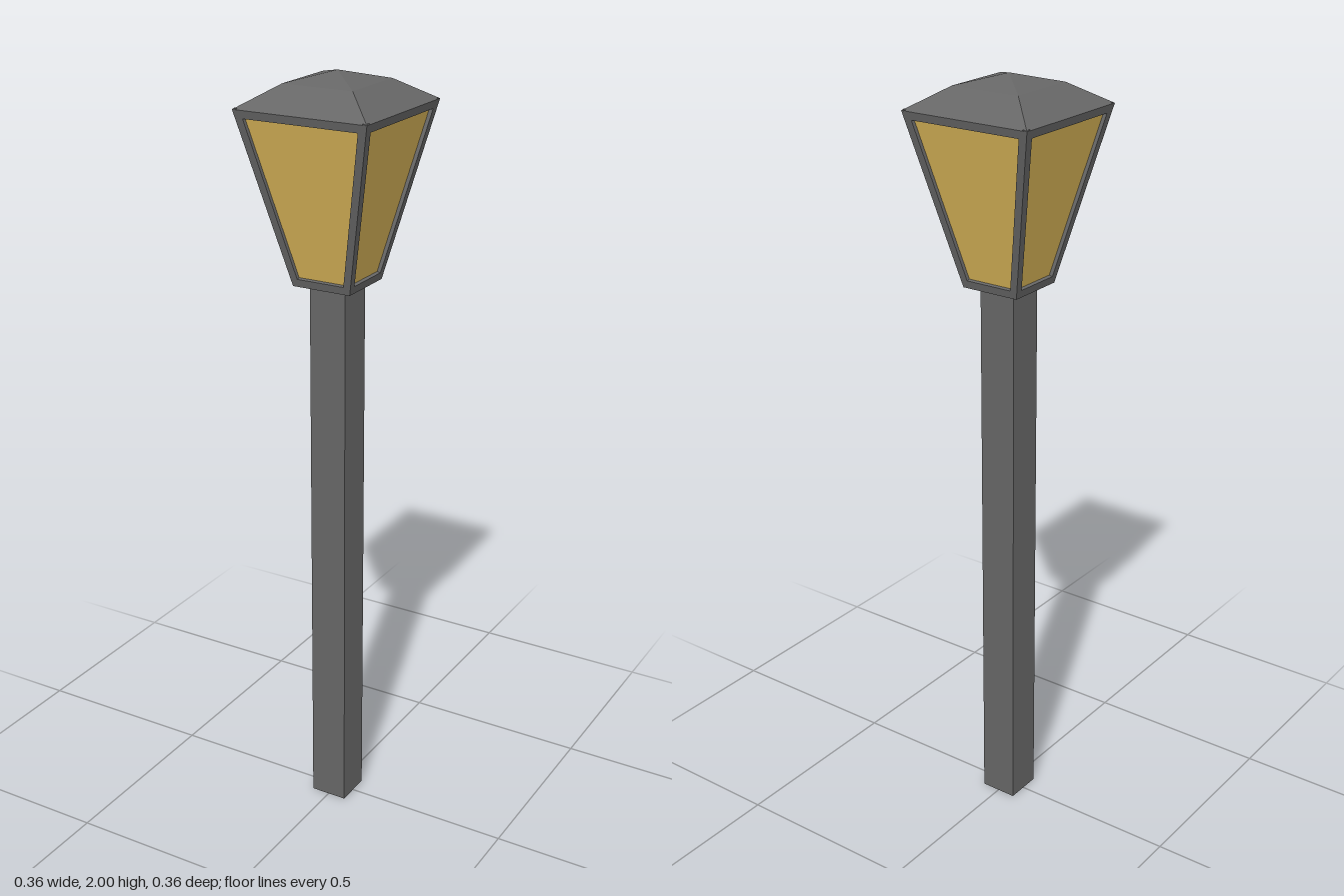
import * as THREE from 'three';

const metal = new THREE.MeshStandardMaterial({ color: 0x666666, flatShading: true });
const glass = new THREE.MeshStandardMaterial({ color: 0xd9b558, flatShading: true, side: THREE.DoubleSide });

const BASE_Y = 1.48, EAVE_Y = 1.92, BASE_HALF = 0.08, EAVE_HALF = 0.18;

// Square solid from [halfWidth, y] steps, listed bottom to top
function squareLathe(name, steps) {
  const points = steps.map(([half, y]) => new THREE.Vector2(half * Math.SQRT2, y));
  const mesh = new THREE.Mesh(new THREE.LatheGeometry(points, 4).rotateY(Math.PI / 4), metal);
  mesh.name = name;
  return mesh;
}

// Symmetric trapezoid corners, counter-clockwise
function trapezoid(bottomHalf, bottomY, topHalf, topY) {
  return [[-bottomHalf, bottomY], [bottomHalf, bottomY], [topHalf, topY], [-topHalf, topY]]
    .map(([x, y]) => new THREE.Vector2(x, y));
}

// One leaning lantern side: frame with a recessed pane
function lanternSide() {
  const side = new THREE.Group();
  side.name = 'lanternSide';
  const rise = EAVE_Y - BASE_Y, run = EAVE_HALF - BASE_HALF;
  const slant = Math.hypot(rise, run), depth = 0.012;
  const opening = trapezoid(0.065, 0.021, 0.154, slant - 0.021);

  const shape = new THREE.Shape(trapezoid(BASE_HALF, 0, EAVE_HALF, slant));
  shape.holes.push(new THREE.Path(opening.slice().reverse()));
  const frame = new THREE.Mesh(
    new THREE.ExtrudeGeometry(shape, { depth, bevelEnabled: false }).translate(0, 0, -depth), metal);
  frame.name = 'lanternFrame';

  const pane = new THREE.Mesh(new THREE.ShapeGeometry(new THREE.Shape(opening)), glass);
  pane.name = 'glassPane';
  pane.position.z = -depth * 0.8;

  side.add(frame, pane);
  side.position.set(0, BASE_Y, BASE_HALF);
  side.rotation.x = Math.atan2(run, rise);
  return side;
}

export function createModel() {
  const model = new THREE.Group();
  model.name = 'streetLamp';

  // Square post
  const post = new THREE.Mesh(new THREE.BoxGeometry(0.1, BASE_Y, 0.1), metal);
  post.name = 'post';
  post.position.y = BASE_Y / 2;
  model.add(post);

  // Lantern floor, closing the frames from below
  model.add(squareLathe('lanternFloor', [[0, BASE_Y], [BASE_HALF, BASE_Y], [BASE_HALF, BASE_Y + 0.01], [0, BASE_Y + 0.01]]));

  // Four glazed sides
  for (let i = 0; i < 4; i++) {
    const turn = new THREE.Group();
    turn.name = 'lanternWall';
    turn.rotation.y = i * Math.PI / 2;
    turn.add(lanternSide());
    model.add(turn);
  }

  // Hipped roof with two slopes
  model.add(squareLathe('roof', [[0, EAVE_Y], [EAVE_HALF, EAVE_Y], [0.095, 1.974], [0, 2]]));
  return model;
}
